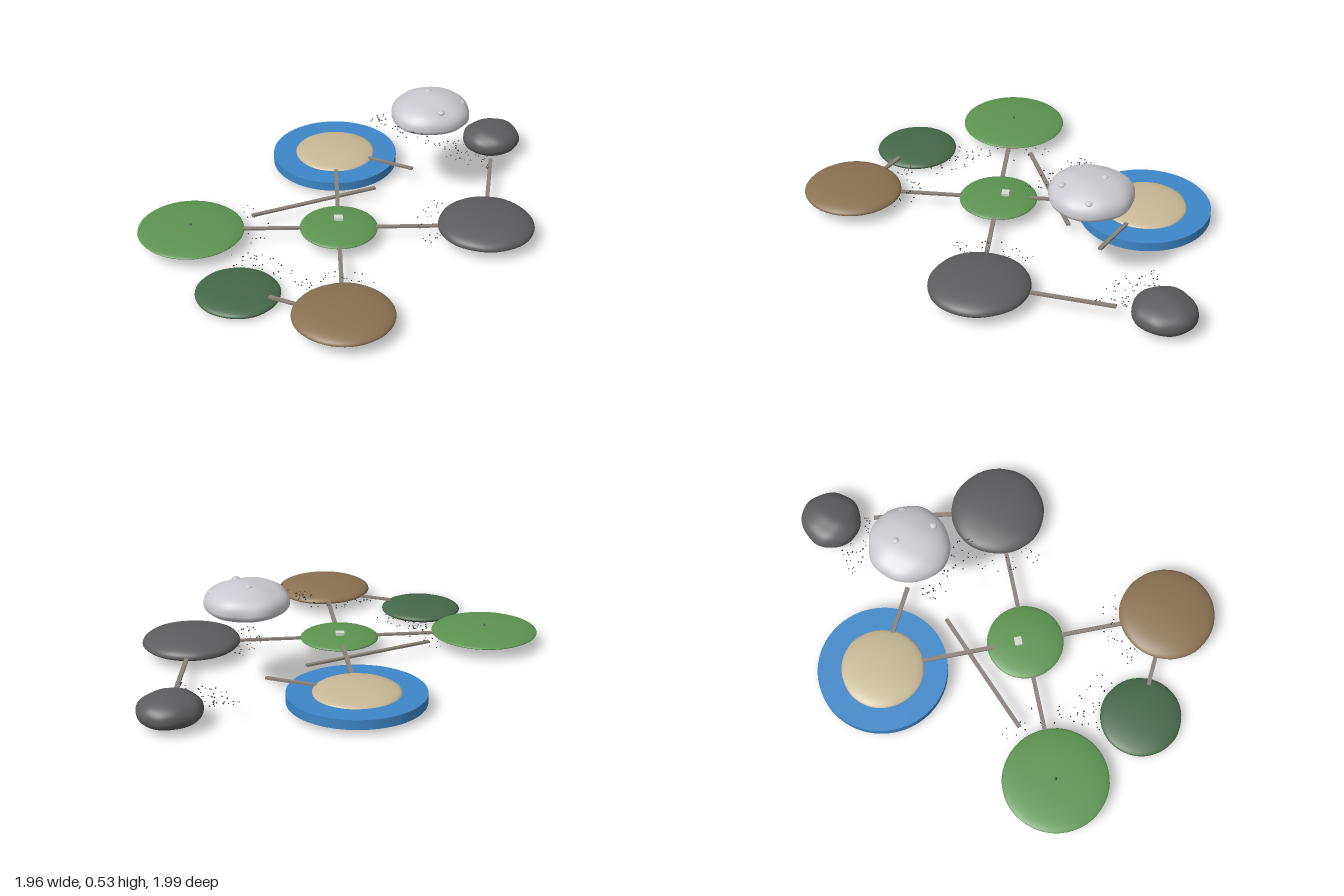
import * as THREE from 'three';
import { mergeVertices, mergeGeometries } from 'three/addons/utils/BufferGeometryUtils.js';

const mat = (name, color) => {
  const m = new THREE.MeshStandardMaterial({ color });
  m.name = name;
  return m;
};

// Small seeded generator
function seeded(seed) {
  return () => {
    seed = (seed * 16807) % 2147483647;
    return seed / 2147483647;
  };
}

// Pebble-shaped island: domed top, shallow flat underside, gentle uneven outline
function islandGeometry(r, top, bottom, rough, seed, bulge) {
  const geo = new THREE.SphereGeometry(1, 48, 32);
  geo.deleteAttribute('uv');
  geo.deleteAttribute('normal');
  const g = mergeVertices(geo, 1e-4);
  const p = g.attributes.position;
  for (let i = 0; i < p.count; i++) {
    const x = p.getX(i), y = p.getY(i), z = p.getZ(i);
    const n = Math.sin(x * 3.1 + seed) * Math.cos(z * 2.7 - seed * 1.7)
      + 0.5 * Math.sin(x * 6.3 + y * 3 + seed * 2.3) * Math.sin(z * 5.9 + seed);
    const k = r * (1 + rough * n);
    const up = Math.pow(Math.max(y, 0), bulge) * top * (1 + rough * 1.5 * n);
    const down = -bottom * Math.min(1, Math.abs(y) * 1.6);
    p.setXYZ(i, x * k, y >= 0 ? up : down, z * k);
  }
  g.computeVertexNormals();
  return g;
}

export function createModel() {
  const group = new THREE.Group();
  const M = {
    green: mat('grass green', 0x5c9350),
    forest: mat('forest green', 0x466849),
    brown: mat('earth brown', 0x8a7152),
    grey: mat('rock grey', 0x5d5d5f),
    white: mat('cloud white', 0xc9c9cf),
    sand: mat('sand', 0xc8b896),
    blue: mat('water blue', 0x3d87c8),
    path: mat('bridge stone', 0x8a8078),
    dark: mat('debris dark', 0x30342f),
    pale: mat('marker pale', 0xd0dacb),
  };
  const add = (name, geo, material, x = 0, y = 0, z = 0) => {
    const m = new THREE.Mesh(geo, material);
    m.name = name;
    m.position.set(x, y, z);
    group.add(m);
    return m;
  };

  // Islands: name, colour, x, rim height, z, radius, dome, depth, roughness, seed, bulge
  const islands = [
    ['hubIsland', 'green', -0.005, 0.07, 0.035, 0.19, 0.026, 0.012, 0.006, 1, 1],
    ['meadowIsland', 'green', -0.725, 0.072, 0.037, 0.259, 0.026, 0.012, 0.005, 2, 1],
    ['forestIsland', 'forest', -0.485, 0.03, 0.515, 0.2, 0.036, 0.022, 0.012, 3, 1],
    ['earthIsland', 'brown', -0.003, 0.073, 0.757, 0.237, 0.05, 0.018, 0.01, 4, 1],
    ['rockIsland', 'grey', 0.715, 0.075, 0.04, 0.237, 0.063, 0.025, 0.015, 5, 0.9],
    ['boulderIsland', 'grey', 0.83, 0.082, -0.8, 0.15, 0.08, 0.045, 0.035, 6, 0.85],
    ['cloudIsland', 'white', 0.467, 0.435, -0.44, 0.199, 0.098, 0.038, 0.03, 7, 0.8],
    ['sandIsland', 'sand', -0.005, 0.078, -0.68, 0.205, 0.034, 0.012, 0.012, 8, 1],
  ];
  for (const [name, color, x, y, z, r, top, bottom, rough, seed, bulge] of islands) {
    add(name, islandGeometry(r, top, bottom, rough, seed, bulge), M[color], x, y, z);
  }

  // Water disc around the sand
  add('waterDisc', new THREE.CylinderGeometry(0.32, 0.32, 0.046, 64), M.blue, -0.005, 0.058, -0.68);

  // Hub marker and the small spike on the meadow
  add('hubMarker', new THREE.BoxGeometry(0.042, 0.014, 0.036), M.pale, -0.005, 0.102, 0);
  add('meadowSpike', new THREE.ConeGeometry(0.009, 0.018, 8), M.forest, -0.725, 0.104, 0.037);

  // Small mounds on the pale island
  for (const [x, y, z, r] of [[0.62, 0.49, -0.44, 0.022], [0.51, 0.508, -0.31, 0.018], [0.46, 0.53, -0.5, 0.016]]) {
    add('cloudMound', new THREE.SphereGeometry(r, 16, 12), M.white, x, y, z).scale.y = 0.6;
  }

  // Bridges: start x, z, end x, z, height
  const bridges = [
    [-0.5, 0.037, -0.15, 0.037, 0.072],
    [0.15, 0.037, 0.52, 0.037, 0.072],
    [-0.005, -0.5, -0.005, -0.12, 0.082],
    [-0.005, 0.18, -0.005, 0.56, 0.072],
    [0.12, -0.625, 0.39, -0.485, 0.085],
    [-0.43, -0.08, 0.19, -0.325, 0.072],
    [0.74, -0.16, 0.805, -0.585, 0.075],
    [-0.34, 0.585, -0.18, 0.665, 0.055],
  ];
  for (const [x0, z0, x1, z1, y] of bridges) {
    const len = Math.hypot(x1 - x0, z1 - z0);
    const b = add('bridge', new THREE.BoxGeometry(0.02, 0.01, len), M.path, (x0 + x1) / 2, y, (z0 + z1) / 2);
    b.rotation.y = Math.atan2(x1 - x0, z1 - z0);
  }

  // Loose debris arcs: centre x, y, z, inner and outer radius, angle range, count
  const arcs = [
    [-0.725, 0.076, 0.037, 0.27, 0.38, -0.65, 0.45, 16],
    [-0.485, 0.034, 0.515, 0.21, 0.33, -1.7, -0.45, 30],
    [-0.003, 0.08, 0.757, 0.25, 0.34, -2.3, -0.9, 28],
    [0.715, 0.08, 0.04, 0.25, 0.34, 2.55, 3.9, 28],
    [0.467, 0.437, -0.44, 0.21, 0.31, 1.6, 3.1, 34],
    [0.83, 0.08, -0.8, 0.16, 0.32, 1.7, 3.0, 60],
  ];
  const rnd = seeded(421);
  for (const [cx, cy, cz, r0, r1, a0, a1, count] of arcs) {
    const bits = [];
    for (let i = 0; i < count; i++) {
      const a = a0 + (a1 - a0) * rnd(), r = r0 + (r1 - r0) * rnd();
      const bit = new THREE.OctahedronGeometry(0.003 + 0.002 * rnd());
      bit.translate(cx + r * Math.cos(a), cy + (rnd() - 0.5) * 0.008, cz + r * Math.sin(a));
      bits.push(bit);
    }
    add('debris', mergeGeometries(bits), M.dark);
  }
  return group;
}
